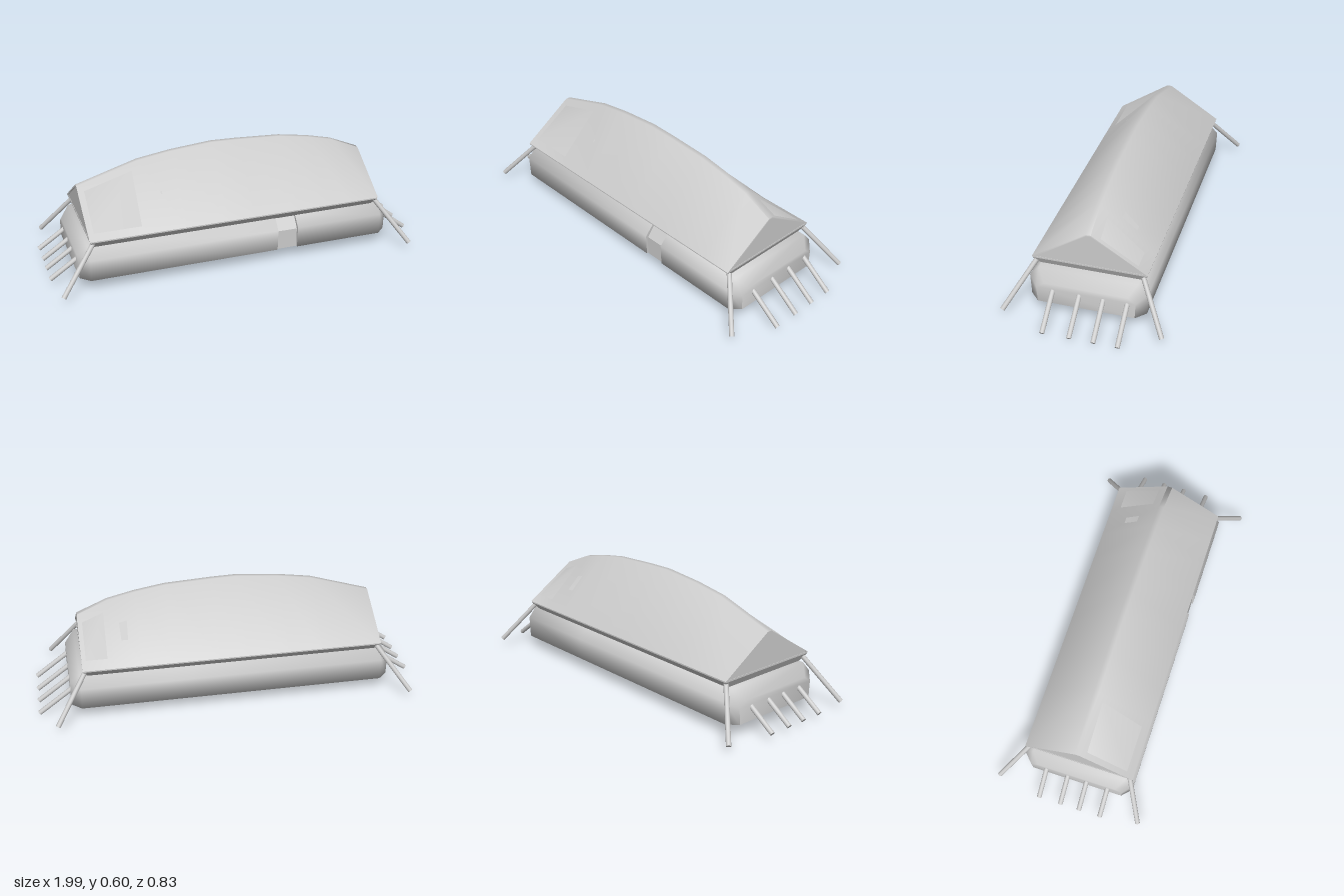
import * as THREE from 'three';
import { toCreasedNormals } from 'three/addons/utils/BufferGeometryUtils.js';

const material = new THREE.MeshStandardMaterial({ color: 0xcccccc, side: THREE.DoubleSide });

// Skins closed rings (even point count, counter-clockwise about the axis) and caps both ends.
function loft(rings, crease) {
  const n = rings[0].length, index = [];
  const quad = (a, b, c, d) => index.push(a, b, c, a, c, d);
  for (let i = 0; i < rings.length - 1; i++) {
    for (let j = 0; j < n; j++) {
      const k = (j + 1) % n;
      quad(i * n + j, i * n + k, (i + 1) * n + k, (i + 1) * n + j);
    }
  }
  const last = (rings.length - 1) * n;
  for (let j = 0; j < n / 2 - 1; j++) {
    const a = j, b = j + 1, c = n - 2 - j, d = n - 1 - j;
    quad(d, c, b, a);
    quad(last + a, last + b, last + c, last + d);
  }
  const geometry = new THREE.BufferGeometry();
  geometry.setAttribute('position', new THREE.Float32BufferAttribute(rings.flat(2), 3));
  geometry.setIndex(index);
  return toCreasedNormals(geometry, crease);
}

export function createModel() {
  const model = new THREE.Group();
  const add = (name, geometry, parent = model) => {
    const mesh = new THREE.Mesh(geometry, material);
    mesh.name = name;
    parent.add(mesh);
    return mesh;
  };
  // Cross-section at x from [z, y] pairs
  const section = (x, points) => points.map(([z, y]) => [x, y, z]);

  // Lower body: soft edges, chamfered ends and a doorway recess in the front
  const bottom = 0.066;
  const end = [[-0.245, bottom], [-0.25, 0.15], [-0.21, 0.18], [0.21, 0.18], [0.25, 0.15], [0.245, bottom]];
  const full = [[-0.293, bottom], [-0.298, 0.18], [-0.25, 0.235], [0.25, 0.235], [0.298, 0.18], [0.293, bottom]];
  const recess = [...full.slice(0, 3), [0.22, 0.235], [0.255, 0.17], [0.255, bottom]];
  add('body', loft([
    section(-0.855, end), section(-0.805, full),
    section(0.19, full), section(0.19, recess), section(0.3, recess), section(0.3, full),
    section(0.775, full), section(0.825, end),
  ], 1.55));

  // Door with a sloping upper part, set back in the recess
  const door = [[0.2, bottom], [0.2, 0.235], [0.235, 0.235], [0.285, 0.17], [0.285, 0.1], [0.285, bottom]];
  add('door', loft([section(0.191, door), section(0.299, door)], 0.3));

  // Sloping band under the eaves
  const rect = (x0, x1, z, y) => [[x0, y, z], [x1, y, z], [x1, y, -z], [x0, y, -z]];
  add('eaveBand', loft([
    rect(-0.775, 0.735, 0.25, 0.23), rect(-0.797, 0.757, 0.288, 0.272), rect(-0.797, 0.757, 0.288, 0.281),
  ], 0.3));

  // Arched roof with a soft ridge, read as [x, height]
  const ridge = [[-0.8, 0.46], [-0.48, 0.558], [-0.3, 0.585], [-0.08, 0.604], [0.06, 0.6],
    [0.3, 0.587], [0.46, 0.561], [0.6, 0.528], [0.76, 0.46]];
  const eave = 0.28;
  add('roof', loft(ridge.map(([x, h]) => section(x, [
    [-0.29, eave], [-0.013, h], [0.013, h], [0.29, eave],
    [0.276, eave], [0.011, h - 0.009], [-0.011, h - 0.009], [-0.276, eave],
  ])), 1.2));

  // Gable walls set just inside the roof edge
  const gable = [[-0.28, eave], [-0.012, 0.455], [0.012, 0.455], [0.28, eave]];
  add('leftGable', loft([section(0.74, gable), section(0.755, gable)], 0.3));
  add('rightGable', loft([section(-0.795, gable), section(-0.78, gable)], 0.3));

  // Straight poles between two points
  const poles = new THREE.Group();
  poles.name = 'poles';
  model.add(poles);
  const pole = (name, from, to) => {
    const a = new THREE.Vector3(...from), b = new THREE.Vector3(...to);
    const dir = b.clone().sub(a);
    const mesh = add(name, new THREE.CylinderGeometry(0.0125, 0.0125, dir.length(), 12), poles);
    mesh.position.copy(a).add(b).multiplyScalar(0.5);
    mesh.quaternion.setFromUnitVectors(new THREE.Vector3(0, 1, 0), dir.normalize());
  };
  for (const z of [0.168, 0.033, -0.087, -0.207]) pole('leftEndPole', [0.78, 0.168, z], [0.99, 0.012, z]);
  for (const z of [0.17, 0.055, -0.048, -0.166]) pole('rightEndPole', [-0.81, 0.165, z], [-0.99, 0.043, z]);

  // Raking poles at the corners
  pole('cornerPole', [0.75, 0.26, 0.268], [0.905, 0.04, 0.4]);
  pole('cornerPole', [0.75, 0.26, -0.268], [0.905, 0.04, -0.4]);
  pole('cornerPole', [-0.78, 0.26, 0.268], [-0.96, 0.04, 0.37]);
  pole('cornerPole', [-0.78, 0.26, -0.268], [-0.94, 0.04, -0.405]);

  return model;
}
